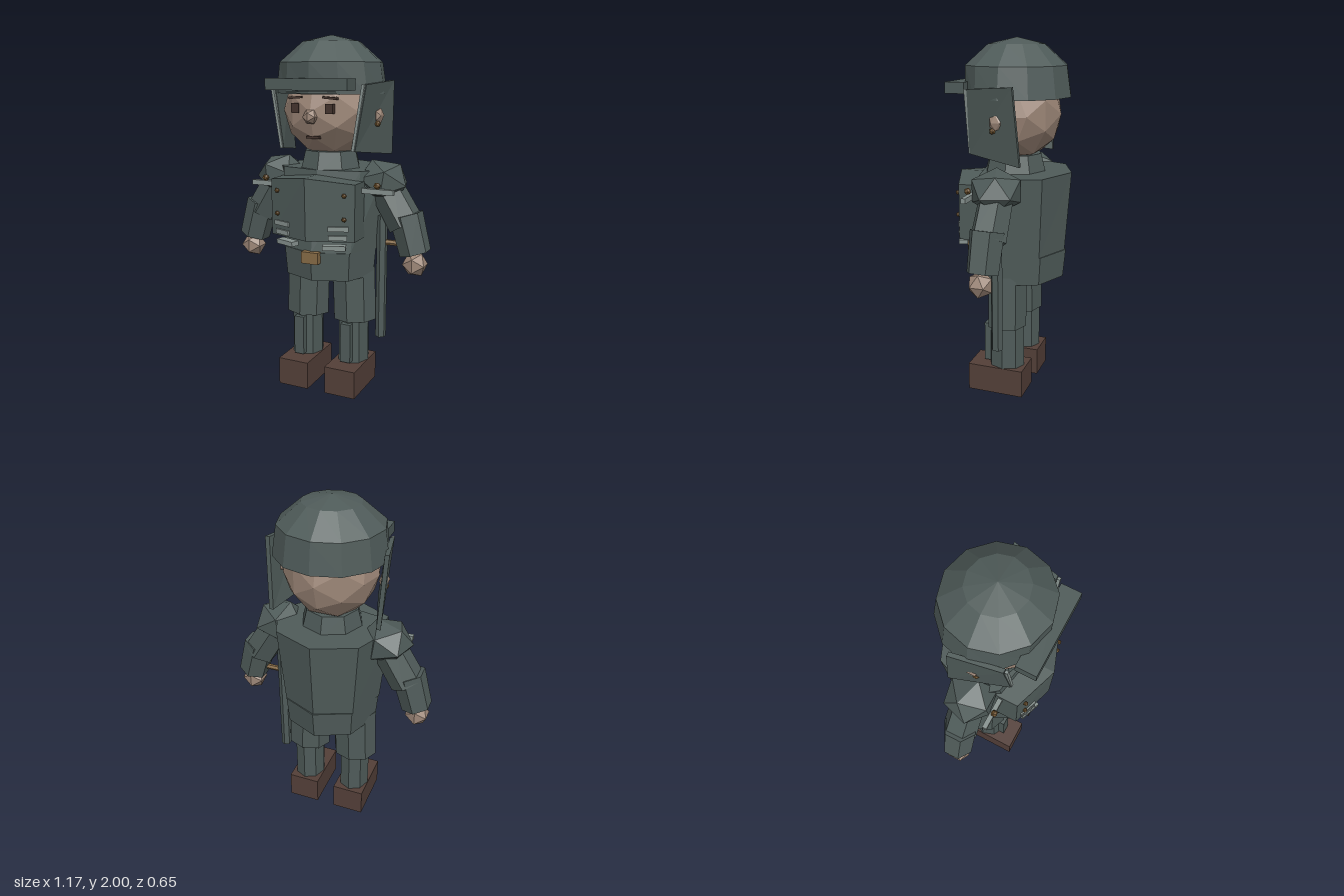
import * as THREE from 'three';

const mat = (name, color) => {
  const m = new THREE.MeshStandardMaterial({ color });
  m.name = name;
  return m;
};

export function createModel() {
  const model = new THREE.Group();
  model.name = 'armouredGuard';
  const cloth = mat('slate green', 0x4f5b59);
  const skin = mat('skin', 0x9c8677);
  const leather = mat('boot brown', 0x533f38);
  const dark = mat('dark brown', 0x44342d);
  const metal = mat('pale metal', 0x87928f);
  const brass = mat('brass', 0x866a45);
  const stud = mat('stud bronze', 0x77582f);

  // Faceted mesh, with an optional rule that moves its vertices
  function add(name, geo, material, pos = [0, 0, 0], rot = [0, 0, 0], rule = null) {
    if (rule) {
      const p = geo.attributes.position;
      const v = new THREE.Vector3();
      for (let i = 0; i < p.count; i++) {
        rule(v.fromBufferAttribute(p, i));
        p.setXYZ(i, v.x, v.y, v.z);
      }
    }
    const flat = geo.index ? geo.toNonIndexed() : geo;
    flat.computeVertexNormals();
    const mesh = new THREE.Mesh(flat, material);
    mesh.name = name;
    mesh.position.set(...pos);
    mesh.rotation.set(...rot);
    model.add(mesh);
    return mesh;
  }
  const box = (w, h, d) => new THREE.BoxGeometry(w, h, d);
  const cyl = (top, bottom, h, n) => new THREE.CylinderGeometry(top, bottom, h, n);
  const ico = (r, detail = 0) => new THREE.IcosahedronGeometry(r, detail);

  // Limb segment between two points
  function limb(name, from, to, r1, r2, sides) {
    const a = new THREE.Vector3(...from), b = new THREE.Vector3(...to);
    const dir = a.clone().sub(b);
    const mesh = add(name, cyl(r1, r2, dir.length(), sides), cloth, a.clone().add(b).multiplyScalar(0.5).toArray());
    mesh.quaternion.setFromUnitVectors(new THREE.Vector3(0, 1, 0), dir.normalize());
  }

  // Torso, leaning back at the top front
  add('torso', cyl(0.33, 0.297, 0.445, 8), cloth, [0, 1.062, 0], [0, 0, 0], (v) => {
    if (v.z > 0.001) v.z *= v.y > 0 ? 0.52 : 0.85;
    if (v.y < 0) v.x *= 0.96;
  });
  add('hips', cyl(0.305, 0.29, 0.16, 8), cloth, [0, 0.76, 0], [0, 0, 0], (v) => {
    v.x *= 0.92;
    if (v.z > 0) v.z *= 0.85;
  });

  // Chest plate with a centre ridge
  add('chestPlate', new THREE.BoxGeometry(0.5, 0.34, 0.2, 2, 1, 1), cloth, [0, 1.09, 0.135], [0, 0, 0], (v) => {
    const middle = Math.abs(v.x) < 0.01;
    if (middle && v.z > 0) v.z += v.y > 0 ? 0.09 : 0.082;
    if (!middle && v.y > 0) v.y -= 0.03;
  });
  add('beltBuckle', box(0.1, 0.065, 0.05), brass, [0, 0.815, 0.25]);
  add('collar', cyl(0.15, 0.18, 0.12, 8), cloth, [0, 1.32, -0.005]);

  // Head and face
  add('head', ico(0.26, 1), skin, [0, 1.6, -0.005]);
  add('nose', ico(0.042), skin, [0, 1.575, 0.25]);
  add('mouth', box(0.075, 0.014, 0.03), dark, [0, 1.465, 0.21]);

  // Helmet shell, open below
  const profile = [[0.305, 1.69], [0.28, 1.855], [0.155, 1.965], [0, 2]].map(([r, y]) => new THREE.Vector2(r, y));
  add('helmet', new THREE.LatheGeometry(profile, 12), cloth, [0, 0, -0.012], [0, 0, 0], (v) => {
    v.x *= 1.02;
    if (v.z > 0 && v.y < 1.7) v.z *= 0.9;
  });
  add('helmetUnderside', cyl(0.29, 0.29, 0.01, 12), cloth, [0, 1.7, -0.015]);
  add('visor', box(0.47, 0.06, 0.11), cloth, [0, 1.742, 0.255]);

  for (const s of [1, -1]) {
    const side = s > 0 ? 'left' : 'right';

    // Eyes, brows and ears
    add(side + 'Eye', box(0.045, 0.05, 0.04), dark, [s * 0.1, 1.617, 0.215]);
    add(side + 'Brow', box(0.08, 0.012, 0.03), dark, [s * 0.1, 1.672, 0.215], [0, 0, s * -0.08]);
    add(side + 'Ear', ico(0.045), skin, [s * 0.285, 1.575, 0], [0, 0, 0], (v) => { v.x *= 0.6; });
    add(side + 'EarStud', ico(0.018), stud, [s * 0.288, 1.532, 0.022]);

    // Cheek guard: closer to the face at the front and the bottom
    add(side + 'CheekGuard', box(0.024, 1, 1), cloth, [0, 0, 0], [0, 0, 0], (v) => {
      const front = v.z > 0, top = v.y > 0;
      const x = top ? (front ? 0.268 : 0.323) : (front ? 0.212 : 0.305);
      v.y = top ? (front ? 1.74 : 1.76) : (front ? 1.395 : 1.355);
      v.z = top ? (front ? 0.165 : -0.1) : (front ? 0.178 : -0.135);
      v.x += s * x;
    });
    add(side + 'CheekTrim', box(0.016, 0.345, 0.016), metal, [0, 1.568, 0.176], [0, 0, 0], (v) => {
      v.x += s * (v.y > 0 ? 0.268 : 0.212);
    });

    // Shoulder and arm
    add(side + 'Pauldron', ico(0.15), cloth, [s * 0.315, 1.225, -0.008], [0, s * 0.3, s * -0.15], (v) => { v.y *= 0.8; });
    limb(side + 'UpperArm', [s * 0.31, 1.22, -0.012], [s * 0.45, 0.99, -0.012], 0.095, 0.1, 6);
    limb(side + 'Forearm', [s * 0.45, 1.045, -0.008], [s * 0.51, 0.835, -0.004], 0.095, 0.088, 6);
    add(side + 'Hand', ico(0.072), skin, [s * 0.513, 0.775, 0.006]);
    add(side + 'ShoulderStrap', box(0.18, 0.028, 0.026), metal, [s * 0.338, 1.185, 0.133]);
    add(side + 'ShoulderStud', ico(0.02), stud, [s * 0.338, 1.217, 0.145]);

    // Jacket buttons and rib bars
    for (const y of [1.172, 1.045]) add(side + 'Button', ico(0.014), stud, [s * 0.2, y, 0.262]);
    for (const [x, y, w] of [[0.163, 0.992, 0.11], [0.16, 0.943, 0.1], [0.142, 0.887, 0.125]]) {
      add(side + 'RibBar', box(w, 0.026, 0.05), metal, [s * x, y, 0.327 - 0.36 * x - 0.02], [0, s * 0.346, 0]);
    }

    // Leg and boot
    add(side + 'Thigh', cyl(0.132, 0.132, 0.31, 8), cloth, [s * 0.146, 0.565, -0.008], [0, 0, s * 0.035], (v) => { v.z *= 0.86; });
    add(side + 'Shin', cyl(0.09, 0.09, 0.27, 8), cloth, [s * 0.148, 0.285, -0.005], [0, 0, 0], (v) => { v.z *= 1.15; });
    add(side + 'ShinGuard', box(0.06, 0.23, 0.05), cloth, [s * 0.148, 0.288, 0.097]);
    add(side + 'Boot', box(0.185, 0.16, 0.325), leather, [s * 0.147, 0.08, 0.038]);
  }

  // Side-handled baton hanging from the left hip
  add('baton', cyl(0.03, 0.03, 0.71, 6), cloth, [0.314, 0.675, -0.006], [0, 0, 0], (v) => { v.z *= 1.1; });
  add('batonHandle', cyl(0.016, 0.016, 0.1, 6), brass, [0.37, 0.878, -0.006], [0, 0, Math.PI / 2]);

  return model;
}
